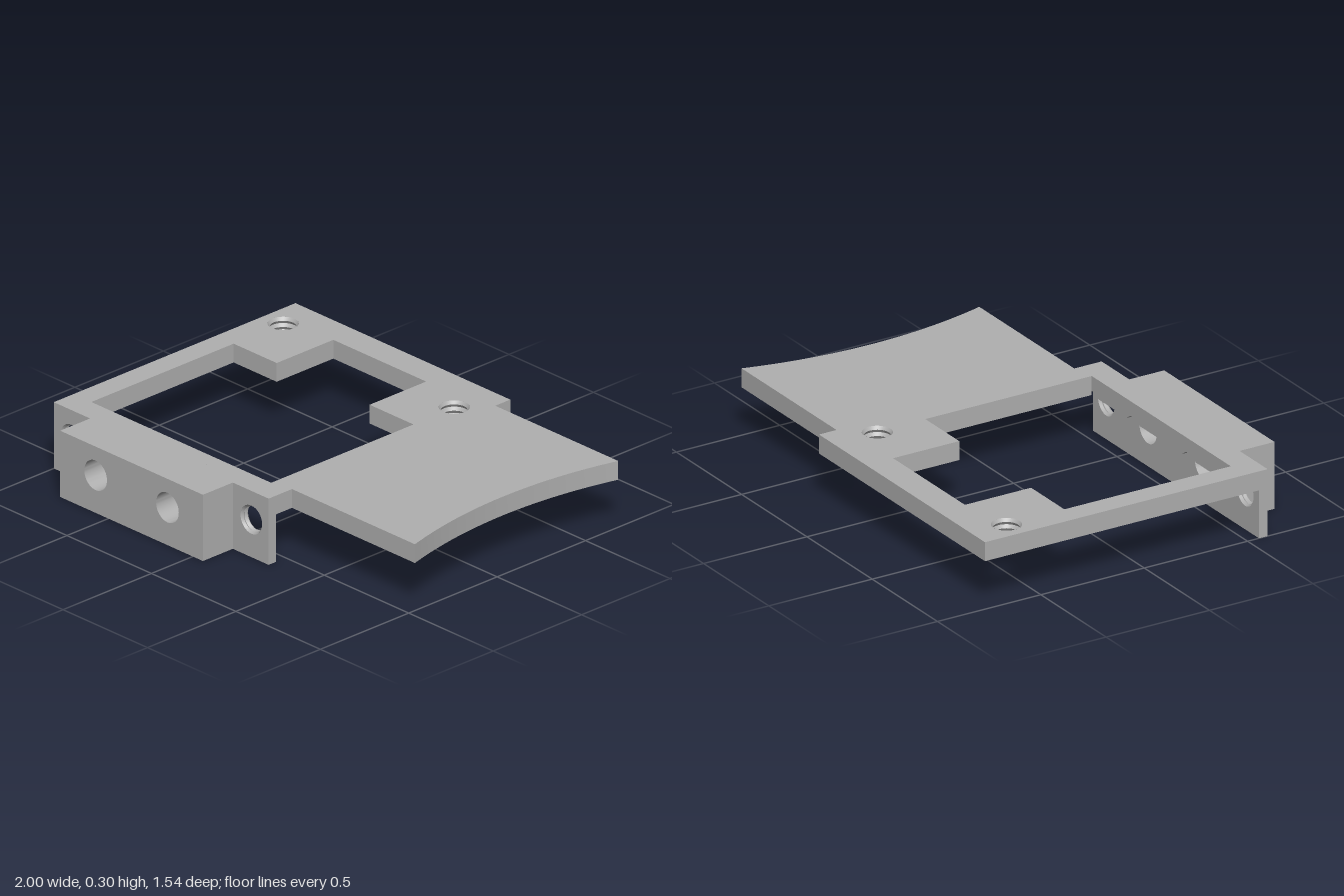
import * as THREE from 'three';
import { toCreasedNormals } from 'three/addons/utils/BufferGeometryUtils.js';

const TOP = 0.3, UNDER = 0.215, HOLE_Y = 0.17;
const BORE_R = 0.067, ROOT_R = 0.064, CREST_R = 0.055;
const bores = [-0.575, -0.15];
const screws = [-0.895, 0.17];

export function createModel() {
  const model = new THREE.Group();
  const grey = new THREE.MeshStandardMaterial({ color: 0xb0b0b0 });
  grey.name = 'plain grey';
  grey.side = THREE.DoubleSide;

  const add = (name, geometry) => {
    const mesh = new THREE.Mesh(geometry, grey);
    mesh.name = name;
    model.add(mesh);
    return mesh;
  };
  const polygon = (pts) => new THREE.Shape(pts.map(([x, y]) => new THREE.Vector2(x, y)));
  const rect = (x0, x1, y0, y1) => polygon([[x0, y0], [x1, y0], [x1, y1], [x0, y1]]);
  const drill = (shape, x, y, r) =>
    shape.holes.push(new THREE.Path().absarc(x, y, r, 0, Math.PI * 2, true));
  const extrude = (shape, depth) => toCreasedNormals(
    new THREE.ExtrudeGeometry(shape, { depth, bevelEnabled: false, curveSegments: 24 }), 0.5);
  // Extrusion along z between two depths
  const alongZ = (name, shape, z0, z1) => add(name, extrude(shape, z1 - z0).translate(0, 0, z0));
  // Zigzag screw thread lining along y
  const thread = (length, turns, start = 0, sweep = Math.PI * 2) => {
    const pts = [];
    for (let i = 0; i <= turns * 2; i++) {
      pts.push(new THREE.Vector2(i % 2 ? CREST_R : ROOT_R, (length * i) / (turns * 2)));
    }
    return toCreasedNormals(new THREE.LatheGeometry(pts, 32, start, sweep), 0.5);
  };

  // Top plate, open towards the front bar, with a concave side edge (shape y = -z)
  const radius = 2.106, half = Math.asin(0.575 / radius);
  const plate = new THREE.Shape();
  plate.moveTo(-1, -0.485);
  for (const [x, z] of [[-0.895, 0.485], [-0.895, -0.32], [-0.64, -0.32], [-0.64, -0.64],
    [-0.09, -0.64], [-0.09, -0.32], [0.17, -0.32], [0.17, 0.485], [0.272, 0.485],
    [0.272, 0.465], [1, 0.465]]) plate.lineTo(x, -z);
  plate.absarc(0.92 + radius, 0.11, radius, Math.PI + half, Math.PI - half, true);
  for (const [x, z] of [[0.272, -0.685], [0.272, -0.77], [-1, -0.77]]) plate.lineTo(x, -z);
  const plateHoles = [[-0.895, -0.6], [0.165, -0.555]];
  for (const [x, z] of plateHoles) drill(plate, x, -z, ROOT_R);
  add('topPlate', extrude(plate, TOP - UNDER).rotateX(-Math.PI / 2).translate(0, UNDER, 0));
  for (const [x, z] of plateHoles) {
    add('plateThread', thread(TOP - UNDER, 3)).position.set(x, UNDER, z);
  }

  // Front bar of the plate, with the bores scooped out of its underside
  const bar = new THREE.Shape();
  bar.moveTo(-1, UNDER);
  for (const x of [...screws, ...bores].sort((a, b) => a - b)) {
    const r = bores.includes(x) ? BORE_R : ROOT_R;
    const a = Math.asin((UNDER - HOLE_Y) / r);
    bar.lineTo(x - r * Math.cos(a), UNDER);
    bar.absarc(x, HOLE_Y, r, Math.PI - a, a, true);
  }
  bar.lineTo(0.272, UNDER);
  bar.lineTo(0.272, TOP);
  bar.lineTo(-1, TOP);
  alongZ('frontBar', bar, 0.485, 0.555);

  // Upright flange
  const flange = rect(-1, 0.272, 0, TOP);
  for (const x of bores) drill(flange, x, HOLE_Y, BORE_R);
  for (const x of screws) drill(flange, x, HOLE_Y, ROOT_R);
  alongZ('flange', flange, 0.555, 0.597);

  // Front block with two smooth bores
  const block = rect(-0.785, 0.06, 0, TOP);
  for (const x of bores) drill(block, x, HOLE_Y, BORE_R);
  alongZ('frontBlock', block, 0.597, 0.766);

  // Threads in the flange, continued as grooves under the bar
  const arc = Math.acos((UNDER - HOLE_Y) / ROOT_R);
  for (const x of screws) {
    add('flangeThread', thread(0.042, 2).rotateX(Math.PI / 2)).position.set(x, HOLE_Y, 0.555);
    add('grooveThread', thread(0.07, 3, Math.PI - arc, arc * 2).rotateX(Math.PI / 2))
      .position.set(x, HOLE_Y, 0.485);
  }
  return model;
}
